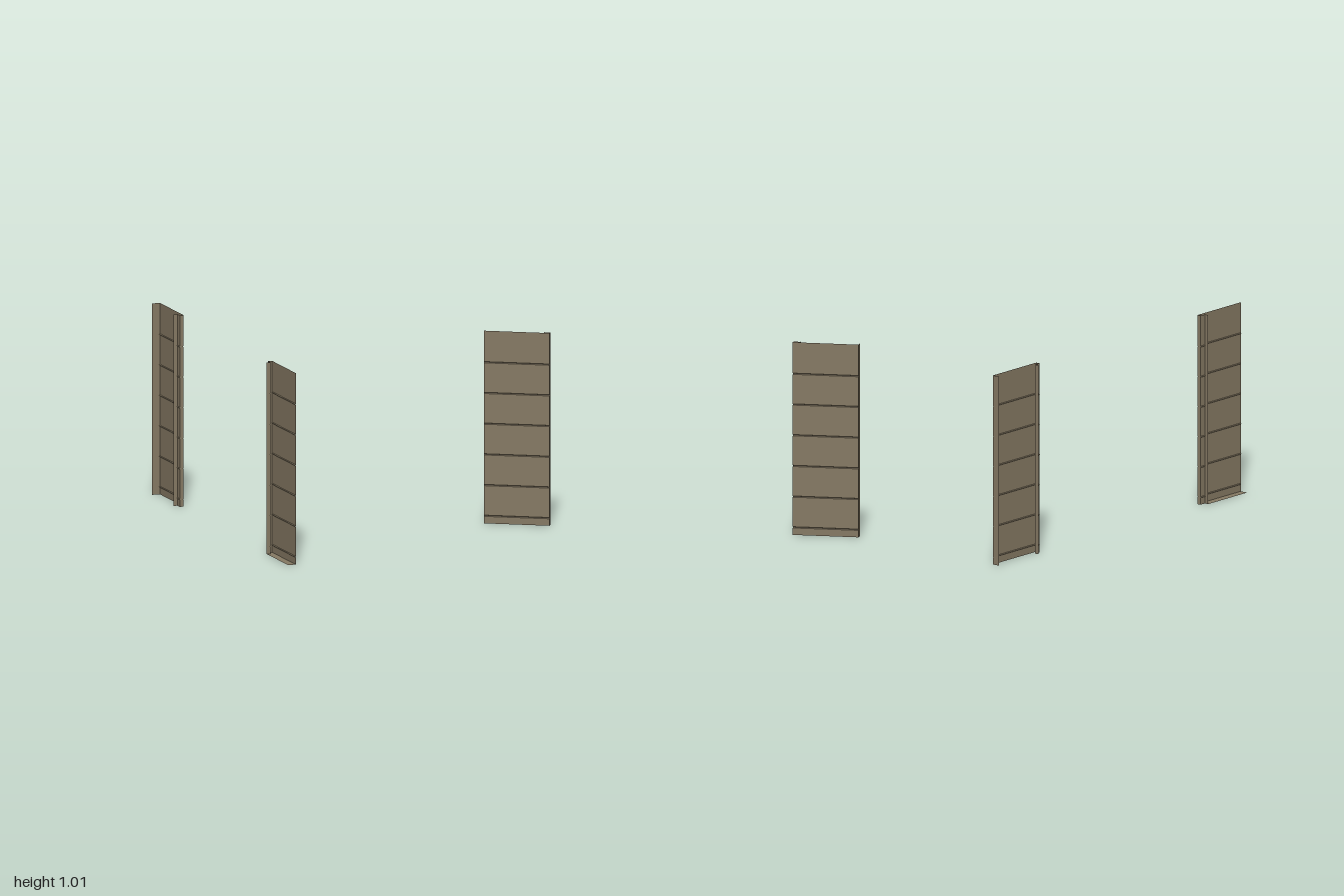
import * as THREE from 'three';

const HEIGHT = 1.015;
const FACE = 0.0215;   // outer sheet plane, flanges reach -FACE
const GROOVE_DEPTH = 0.004;
const GROOVE_HALF = 0.0035;

// Heights and inward offsets of the sheet, with six shallow V grooves
function sheetRows() {
  const rows = [[0, 0]];
  for (let i = 0; i < 6; i++) {
    const y = 0.04 + i * 0.1618;
    rows.push([y - GROOVE_HALF, 0], [y, GROOVE_DEPTH], [y + GROOVE_HALF, 0]);
  }
  rows.push([HEIGHT, 0]);
  return rows;
}

// Sweeps a folded section up the rows; each point is [x, z, follows groove (0 or 1)]
function foldedSheet(section) {
  const rows = sheetRows();
  const pos = [];
  const at = ([x, z, g], [y, d]) => [x - g * d, y, z];
  for (let r = 0; r < rows.length - 1; r++) {
    for (let s = 0; s < section.length - 1; s++) {
      const a = at(section[s], rows[r]);
      const b = at(section[s + 1], rows[r]);
      const c = at(section[s + 1], rows[r + 1]);
      const d = at(section[s], rows[r + 1]);
      pos.push(...a, ...b, ...c, ...a, ...c, ...d);
    }
  }
  const geo = new THREE.BufferGeometry();
  geo.setAttribute('position', new THREE.Float32BufferAttribute(pos, 3));
  geo.computeVertexNormals();
  return geo;
}

export function createModel() {
  const model = new THREE.Group();
  model.name = 'groovedPanelPair';
  const metal = new THREE.MeshStandardMaterial({ color: 0x857963, side: THREE.DoubleSide });
  metal.name = 'taupe';

  const add = (parent, name, geo) => {
    const mesh = new THREE.Mesh(geo, metal);
    mesh.name = name;
    parent.add(mesh);
    return mesh;
  };

  // Horizontal plate at floor level
  const floorPlate = (x0, x1, z0, z1) =>
    new THREE.PlaneGeometry(x1 - x0, z1 - z0)
      .rotateX(-Math.PI / 2)
      .translate((x0 + x1) / 2, 0, (z0 + z1) / 2);

  for (const side of [1, -1]) {
    const panel = new THREE.Group();
    panel.name = side > 0 ? 'frontPanel' : 'backPanel';
    model.add(panel);

    // Grooved outer face
    add(panel, 'outerSheet', foldedSheet([[FACE, side, 1], [FACE, side * 0.65, 1]]));

    // Stepped fold along the inner edge: return, ledge, lip
    add(panel, 'steppedEdge', foldedSheet([
      [FACE, side * 0.65, 1], [0, side * 0.65, 1],
      [0, side * 0.685, 1], [-FACE, side * 0.685, 0],
    ]));

    if (side > 0) {
      // Bottom flange
      add(panel, 'bottomFlange', floorPlate(-FACE, FACE, 0.685, 1));
      add(panel, 'bottomFlangeTab', floorPlate(0, FACE, 0.65, 0.685));
    } else {
      // Full-height flange on the outer end
      add(panel, 'endFlange', foldedSheet([[FACE, -1, 1], [-FACE, -1, 0]]));
    }
  }
  return model;
}
